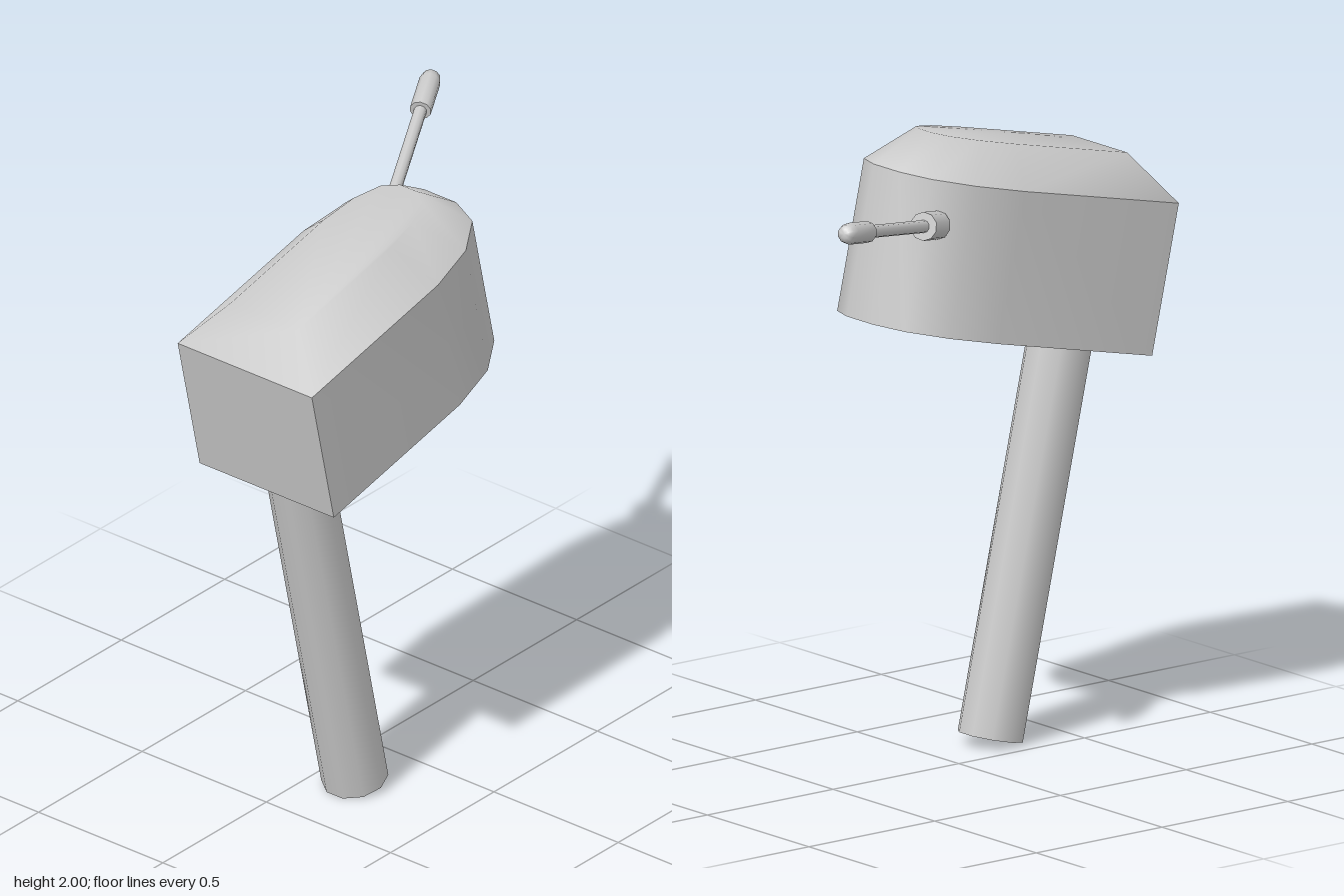
import * as THREE from 'three';
import { toCreasedNormals } from 'three/addons/utils/BufferGeometryUtils.js';

const material = new THREE.MeshStandardMaterial({ color: 0xcccccc, side: THREE.DoubleSide });

function addMesh(parent, name, geometry) {
  const mesh = new THREE.Mesh(geometry, material);
  mesh.name = name;
  parent.add(mesh);
  return mesh;
}

// Right half of the footprint as [half width, distance behind the front]
const half = [[0.27, 0], [0.27, 0.625], [0.24, 0.8], [0.167, 0.922], [0.065, 0.968]];
const footprint = [...half, ...half.map(([x, u]) => [-x, u]).reverse()];
const WALL = 0.482, TOP = 0.608;

// Hipped roof: a ring on the wall top, a smaller ring above it, and a flat cap
function roofGeometry() {
  const n = footprint.length, pos = [], index = [];
  footprint.forEach(([x, u]) => pos.push(x, WALL, -u));
  footprint.forEach(([x, u]) => pos.push(x * 0.5, TOP, -(0.48 + (u - 0.48) * 0.734)));
  for (let i = 0; i < n; i++) {
    const j = (i + 1) % n;
    index.push(i, j, n + j, i, n + j, n + i);
  }
  for (let i = 1; i < n - 1; i++) index.push(n, n + i, n + i + 1);
  const g = new THREE.BufferGeometry();
  g.setAttribute('position', new THREE.Float32BufferAttribute(pos, 3));
  g.setIndex(index);
  g.computeVertexNormals();
  return g;
}

export function createModel() {
  const model = new THREE.Group();
  model.name = 'mailbox';

  // Everything leans together; the origin is the lower front edge of the box
  const tilted = new THREE.Group();
  tilted.name = 'leaningMailbox';
  tilted.position.set(0.135, 1.225, 0.66);
  tilted.rotation.x = 0.2217;
  model.add(tilted);

  // Box walls with a rounded back
  const shape = new THREE.Shape(footprint.map(([x, u]) => new THREE.Vector2(x, u)));
  const walls = new THREE.ExtrudeGeometry(shape, { depth: WALL, bevelEnabled: false });
  walls.rotateX(-Math.PI / 2);
  addMesh(tilted, 'boxWalls', toCreasedNormals(walls, 0.75));
  addMesh(tilted, 'roof', roofGeometry());

  // Ten-sided post, open at its ends
  const post = new THREE.CylinderGeometry(0.105, 0.105, 1.265, 10, 1, true);
  post.rotateY(Math.PI / 2);
  addMesh(tilted, 'post', post).position.set(0, -1.265 / 2, -0.151);

  // Flag lever sticking out of the rounded back
  const lever = new THREE.Group();
  lever.name = 'flagLever';
  lever.position.set(-0.205, 0.344, -0.92);
  lever.quaternion.setFromUnitVectors(
    new THREE.Vector3(0, 1, 0), new THREE.Vector3(-0.455, 0, -0.89).normalize());
  tilted.add(lever);
  addMesh(lever, 'leverSocket', new THREE.CylinderGeometry(0.045, 0.045, 0.11, 10)).position.y = 0.015;
  addMesh(lever, 'leverRod', new THREE.CylinderGeometry(0.02, 0.02, 0.5, 10)).position.y = 0.29;
  const knob = [[0, 0.52], [0.034, 0.52], [0.034, 0.66], [0.028, 0.685], [0.015, 0.698], [0, 0.7]];
  addMesh(lever, 'leverKnob', toCreasedNormals(
    new THREE.LatheGeometry(knob.map(([r, y]) => new THREE.Vector2(r, y)), 10), 0.8));

  return model;
}
